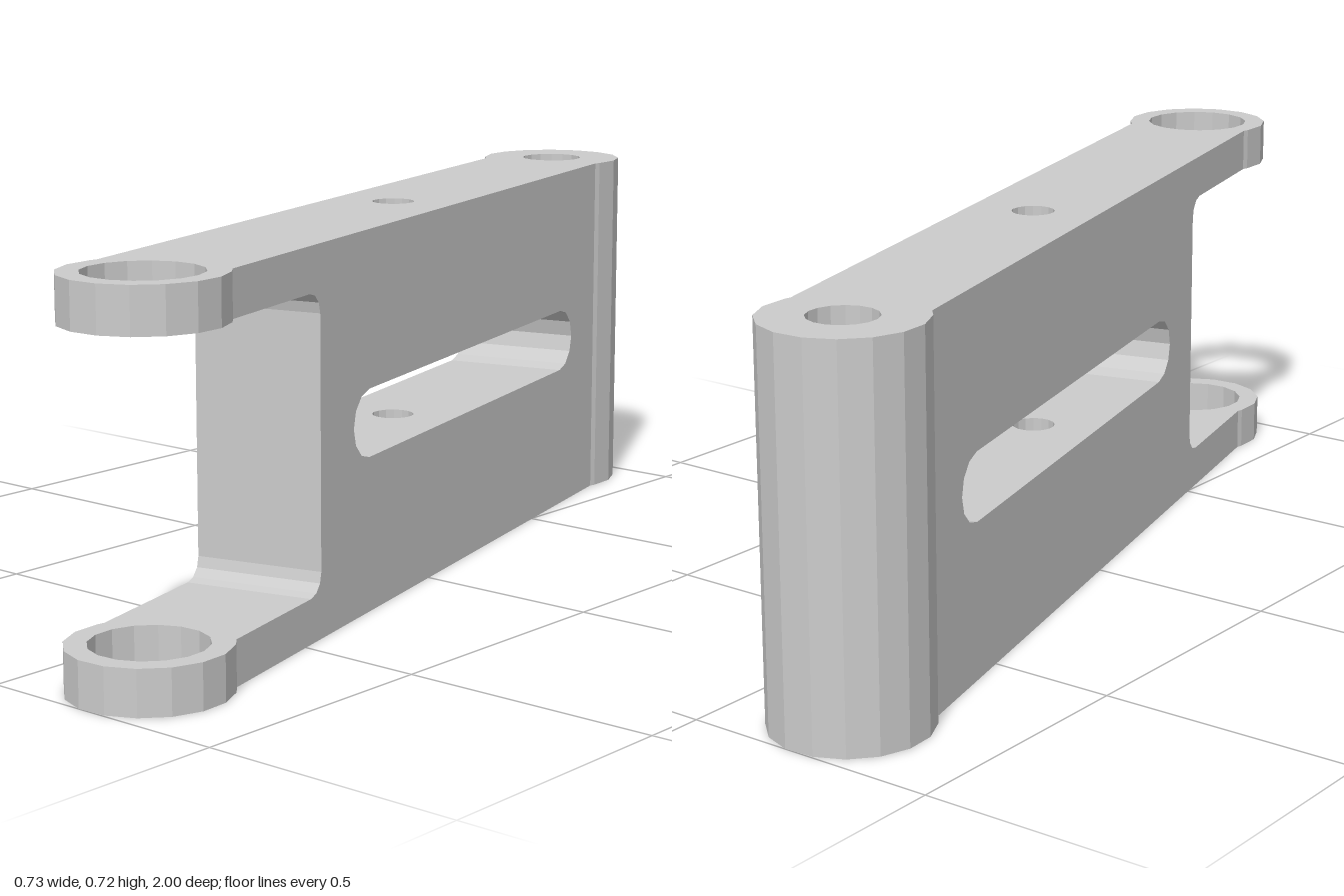
import * as THREE from 'three';

// Main sizes; local x runs along the link, z across it
const H = 0.716;                    // height
const HALF = 0.126;                 // half thickness of the bar
const ARM = 0.084;                  // fork arm thickness
const NOTCH = 0.488, FILLET = 0.04; // fork notch floor and corner radius
const BOSS = { x: 0.883, z: -0.004, r: 0.1465 };
const SLOT = { x0: -0.626, x1: 0.293, r: 0.064 };
const YAW = THREE.MathUtils.degToRad(-75.67);

const material = new THREE.MeshStandardMaterial({
  color: 0xcccccc, flatShading: true, side: THREE.DoubleSide,
});

function arc(cx, cy, r, a0, a1, n) {
  return Array.from({ length: n + 1 }, (_, i) => {
    const a = a0 + (a1 - a0) * i / n;
    return [cx + r * Math.cos(a), cy + r * Math.sin(a)];
  });
}
const circle = (x, z, r, n) => arc(x, z, r, 0, Math.PI * 2, n);
const toVectors = (pts) => pts.map(([x, y]) => new THREE.Vector2(x, y));

// Flat face from an outline with holes
function face(outline, holes) {
  const shape = new THREE.Shape(toVectors(outline));
  holes.forEach((h) => shape.holes.push(new THREE.Path(toVectors(h))));
  return new THREE.ShapeGeometry(shape);
}

// Horizontal face at height y, looking up or down
function plate(outline, holes, y, up) {
  const s = up ? -1 : 1;
  const flip = (pts) => pts.map(([x, z]) => [x, s * z]);
  return face(flip(outline), holes.map(flip)).rotateX(s * Math.PI / 2).translate(0, y, 0);
}

// Strip of quads between two matching 3D paths
function ribbon(p, q) {
  const pos = [];
  for (let i = 0; i < p.length - 1; i++) {
    pos.push(...p[i], ...p[i + 1], ...q[i + 1], ...p[i], ...q[i + 1], ...q[i]);
  }
  const g = new THREE.BufferGeometry();
  g.setAttribute('position', new THREE.Float32BufferAttribute(pos, 3));
  g.computeVertexNormals();
  return g;
}
const wall = (path, y0, y1) => ribbon(path.map(([x, z]) => [x, y0, z]), path.map(([x, z]) => [x, y1, z]));
const across = (path) => ribbon(path.map(([x, y]) => [x, y, -HALF]), path.map(([x, y]) => [x, y, HALF]));

export function createModel() {
  const link = new THREE.Group();
  link.name = 'link';
  link.rotation.y = YAW;
  const add = (name, ...geometries) => {
    const part = new THREE.Group();
    part.name = name;
    geometries.forEach((g) => {
      const mesh = new THREE.Mesh(g, material);
      mesh.name = name;
      part.add(mesh);
    });
    link.add(part);
  };

  // Boss outlines: sixteen-sided rounds that end where they meet the bar
  const a0 = Math.PI - Math.asin((HALF - BOSS.z) / BOSS.r);
  const a1 = Math.asin((HALF + BOSS.z) / BOSS.r) - Math.PI;
  const angles = [a0];
  for (let k = 5; k >= -5; k--) angles.push(k * Math.PI / 8);
  angles.push(a1);
  const frontArc = angles.map((a) => [BOSS.x + BOSS.r * Math.cos(a), BOSS.z + BOSS.r * Math.sin(a)]);
  const backArc = frontArc.map(([x, z]) => [-x, -z]);

  const frontHole = circle(BOSS.x, BOSS.z, 0.106, 16);
  const backHole = circle(-BOSS.x, -BOSS.z, 0.063, 16);
  const midHole = circle(-0.068, 0, 0.041, 16);

  // Top and bottom faces
  const plan = [...frontArc, ...backArc];
  const holes = [frontHole, backHole, midHole];
  add('topFace', plate(plan, holes, H, true));
  add('bottomFace', plate(plan, holes, 0, false));

  // Fork arm inner faces
  const xa = NOTCH + FILLET;
  const armPlan = [...frontArc, [xa, -HALF], [xa, HALF]];
  add('forkArmInnerFaces', plate(armPlan, [frontHole], ARM, true), plate(armPlan, [frontHole], H - ARM, false));

  // Notch floor with rounded corners
  const notch = [
    ...arc(xa, ARM + FILLET, FILLET, -Math.PI / 2, -Math.PI, 3),
    ...arc(xa, H - ARM - FILLET, FILLET, Math.PI, Math.PI / 2, 3),
  ];
  add('forkNotch', across(notch));

  // Long slot through the thickness, pierced by the small vertical hole
  const mid = H / 2;
  const slotFront = arc(SLOT.x1, mid, SLOT.r, Math.PI / 2, -Math.PI / 2, 6);
  const slotBack = arc(SLOT.x0, mid, SLOT.r, -Math.PI / 2, -Math.PI * 1.5, 6);
  const slotPlan = [[SLOT.x0, -HALF], [SLOT.x1, -HALF], [SLOT.x1, HALF], [SLOT.x0, HALF]];
  add('slot', across(slotFront), across(slotBack),
    plate(slotPlan, [midHole], mid - SLOT.r, true),
    plate(slotPlan, [midHole], mid + SLOT.r, false));

  // Side faces, with the slot and the fork notch cut out
  const last = frontArc.length - 1;
  for (const s of [1, -1]) {
    const xf = frontArc[s > 0 ? 0 : last][0];
    const xb = backArc[s > 0 ? last : 0][0];
    const outline = [[xb, 0], [xf, 0], [xf, ARM], ...notch, [xf, H - ARM], [xf, H], [xb, H]];
    const turn = (pts) => pts.map(([x, y]) => [s * x, y]);
    const g = face(turn(outline), [turn([...slotFront, ...slotBack])]);
    if (s < 0) g.rotateY(Math.PI);
    add(s > 0 ? 'rightSide' : 'leftSide', g.translate(0, 0, s * HALF));
  }

  // Boss rims and bores
  const layers = [[0, ARM], [H - ARM, H]];
  add('backBoss', wall(backArc, 0, H), wall(backHole, 0, H));
  add('forkEyes', ...layers.flatMap(([y0, y1]) => [wall(frontArc, y0, y1), wall(frontHole, y0, y1)]));
  add('smallBore', wall(midHole, 0, mid - SLOT.r), wall(midHole, mid + SLOT.r, H));

  const model = new THREE.Group();
  model.name = 'forkedLink';
  model.add(link);
  return model;
}
